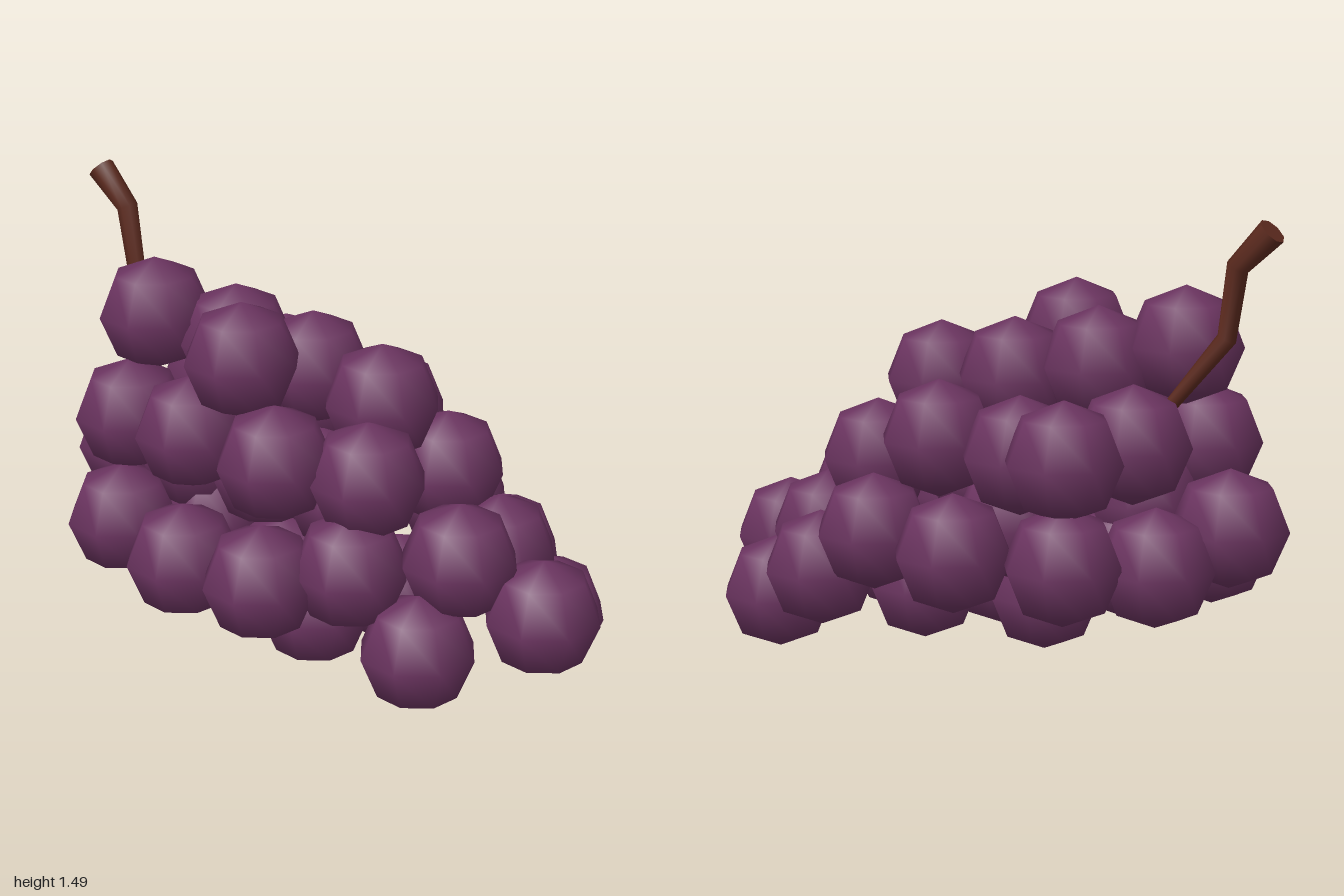
import * as THREE from 'three';

const GRAPE_RADIUS = 0.19;

// Grape centres [x, y, z], from the top of the bunch down
const GRAPES = [
  // crown
  [-0.62, 1.07, 0.01], [-0.19, 1.045, 0.245], [0.215, 0.91, 0.07],
  [-0.35, 1.0, -0.04], [-0.07, 0.95, -0.03],
  // upper layer
  [-0.66, 0.75, 0.12], [-0.39, 0.76, 0.21], [-0.025, 0.765, 0.355],
  [0.26, 0.73, 0.285], [0.385, 0.665, -0.07], [0.115, 0.77, -0.23],
  [-0.18, 0.75, -0.31], [-0.365, 0.77, -0.45], [-0.52, 0.79, -0.23],
  // middle layer
  [-0.81, 0.53, -0.15], [-0.68, 0.39, 0.16], [-0.34, 0.39, 0.38],
  [-0.02, 0.41, 0.475], [0.24, 0.455, 0.37], [0.55, 0.49, 0.235],
  [0.57, 0.41, -0.06], [0.31, 0.47, -0.305], [-0.02, 0.465, -0.48],
  [-0.37, 0.45, -0.47], [-0.62, 0.43, -0.32], [-0.44, 0.38, -0.05],
  // bottom layer and drooping tip
  [-0.165, 0.235, -0.01], [0.055, 0.235, 0.23], [0.25, 0.235, -0.01],
  [0.51, 0.325, -0.265], [0.465, 0.215, 0.36], [0.805, 0.32, 0.17],
  [0.72, 0.195, -0.13],
  // heart of the bunch
  [-0.5, 0.58, -0.03], [-0.2, 0.6, 0.05], [0.1, 0.6, 0.12], [-0.1, 0.5, -0.15],
];

// Tapered tube through points [x, y, z, radius], mitred at the bends, capped at the end
function taperedTube(points, sides) {
  const pos = [], index = [];
  const centres = points.map(([x, y, z]) => new THREE.Vector3(x, y, z));
  const last = points.length - 1;
  centres.forEach((c, i) => {
    const before = c.clone().sub(centres[Math.max(i - 1, 0)]).normalize();
    const after = centres[Math.min(i + 1, last)].clone().sub(c).normalize();
    const t = before.add(after).normalize();
    const n = new THREE.Vector3(0, 0, 1).addScaledVector(t, -t.z).normalize();
    const b = t.clone().cross(n);
    for (let j = 0; j < sides; j++) {
      const a = (j / sides) * Math.PI * 2, r = points[i][3];
      const v = c.clone().addScaledVector(n, Math.cos(a) * r).addScaledVector(b, Math.sin(a) * r);
      pos.push(v.x, v.y, v.z);
      if (i < last) {
        const p = i * sides + j, q = i * sides + ((j + 1) % sides);
        index.push(p, q, q + sides, p, q + sides, p + sides);
      }
    }
  });
  // separate cap ring keeps the cut end sharp
  const ring = pos.slice(-sides * 3), start = pos.length / 3;
  pos.push(...ring, ...centres[last].toArray());
  for (let j = 0; j < sides; j++) index.push(start + sides, start + j, start + ((j + 1) % sides));
  const geo = new THREE.BufferGeometry();
  geo.setAttribute('position', new THREE.Float32BufferAttribute(pos, 3));
  geo.setIndex(index);
  geo.computeVertexNormals();
  return geo;
}

export function createModel() {
  const model = new THREE.Group();
  model.name = 'grapeBunch';

  const grapeSkin = new THREE.MeshStandardMaterial({ color: 0x6b3460 });
  grapeSkin.name = 'grape purple';
  const wood = new THREE.MeshStandardMaterial({ color: 0x5c2a1e });
  wood.name = 'stem brown';

  // Grapes: coarse smooth spheres, octagonal in outline
  const grapes = new THREE.Group();
  grapes.name = 'grapes';
  const sphere = new THREE.SphereGeometry(GRAPE_RADIUS, 8, 4);
  GRAPES.forEach(([x, y, z], i) => {
    const grape = new THREE.Mesh(sphere, grapeSkin);
    grape.name = `grape${i + 1}`;
    grape.position.set(x, y, z);
    grapes.add(grape);
  });
  model.add(grapes);

  // Crooked stem, widening to the cut end
  const stem = new THREE.Mesh(taperedTube([
    [-0.6, 0.88, -0.185, 0.02],
    [-0.8, 1.13, -0.195, 0.031],
    [-0.83, 1.35, -0.197, 0.036],
    [-0.94, 1.465, -0.222, 0.046],
  ], 8), wood);
  stem.name = 'stem';
  model.add(stem);

  return model;
}
